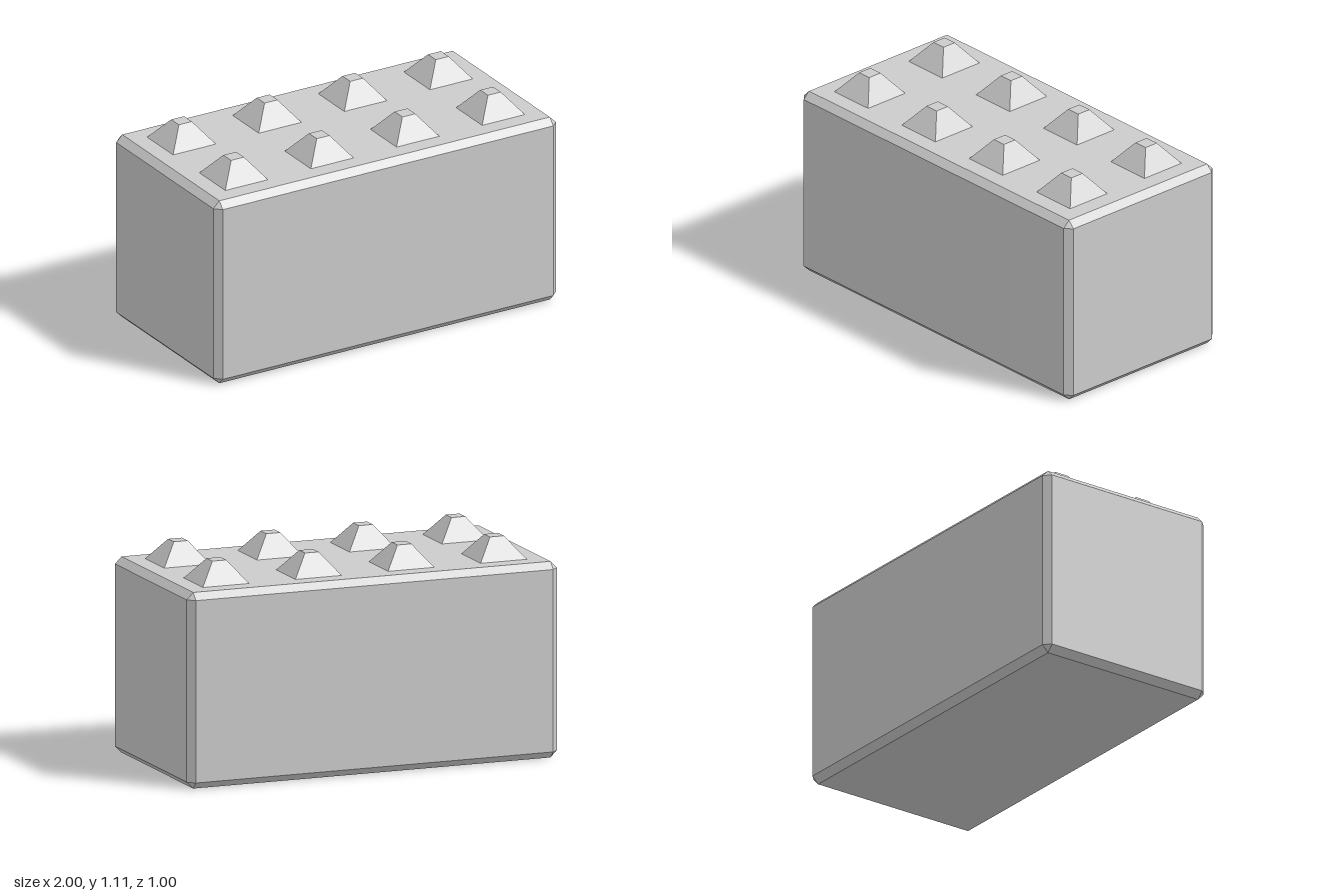
import * as THREE from 'three';
import { ConvexGeometry } from 'three/addons/geometries/ConvexGeometry.js';

const material = new THREE.MeshStandardMaterial({ color: 0xcccccc, flatShading: true });

// Box with all edges bevelled flat and triangular corner facets
function chamferedBox(w, h, d, c) {
  const points = [];
  for (const x of [-w / 2, w / 2])
    for (const y of [-h / 2, h / 2])
      for (const z of [-d / 2, d / 2]) {
        const full = new THREE.Vector3(x, y, z);
        const inner = new THREE.Vector3(x - Math.sign(x) * c, y - Math.sign(y) * c, z - Math.sign(z) * c);
        for (const axis of ['x', 'y', 'z']) {
          const p = inner.clone();
          p[axis] = full[axis];
          points.push(p);
        }
      }
  return new ConvexGeometry(points);
}

// Square truncated pyramid standing on y = 0
function frustum(base, top, height) {
  const g = new THREE.CylinderGeometry(top * Math.SQRT1_2, base * Math.SQRT1_2, height, 4);
  g.rotateY(Math.PI / 4);
  g.translate(0, height / 2, 0);
  return g;
}

export function createModel() {
  const model = new THREE.Group();
  model.name = 'studdedBlock';

  // Main block
  const block = new THREE.Mesh(chamferedBox(2, 1, 1, 0.035), material);
  block.name = 'block';
  block.position.y = 0.5;
  model.add(block);

  // Two rows of four locking studs
  const studs = new THREE.Group();
  studs.name = 'studs';
  const studGeometry = frustum(0.25, 0.075, 0.11);
  for (const z of [-0.25, 0.25])
    for (const x of [-0.75, -0.25, 0.25, 0.75]) {
      const stud = new THREE.Mesh(studGeometry, material);
      stud.name = 'stud';
      stud.position.set(x, 1, z);
      studs.add(stud);
    }
  model.add(studs);

  return model;
}
